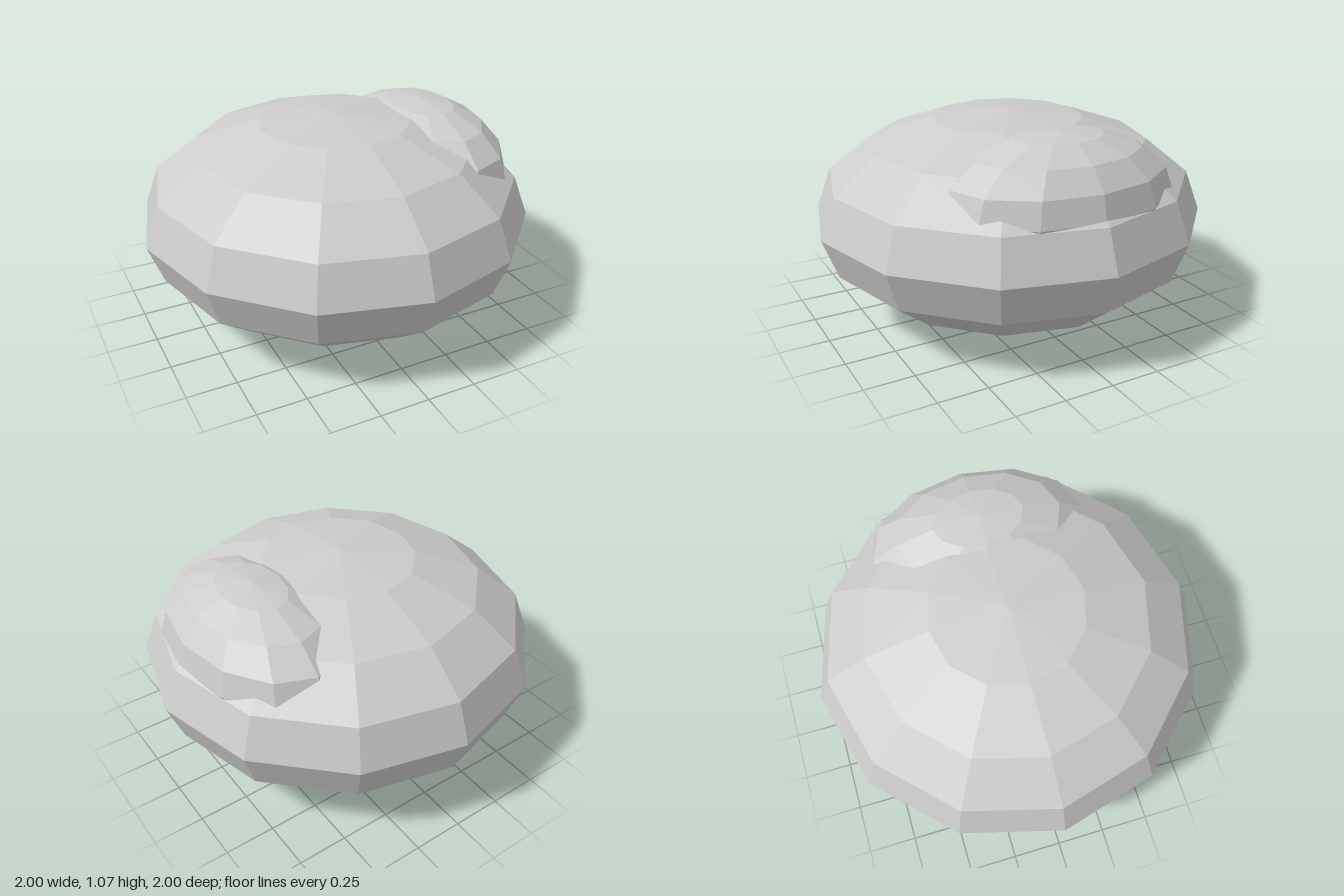
import * as THREE from 'three';

export function createModel() {
  const model = new THREE.Group();
  model.name = 'pebble';
  const stone = new THREE.MeshStandardMaterial({ color: 0xcccccc, flatShading: true });
  stone.name = 'stone grey';

  // Faceted ellipsoid with the given centre and radii
  function blob(name, center, radii) {
    const geometry = new THREE.SphereGeometry(1, 12, 8);
    geometry.scale(...radii);
    const mesh = new THREE.Mesh(geometry, stone);
    mesh.name = name;
    mesh.position.set(...center);
    model.add(mesh);
  }

  // Wide flattened body
  blob('body', [0, 0.533, 0], [1, 0.533, 1]);
  // Smaller bump sunk into the upper left side
  blob('bump', [0.5, 0.747, 0], [0.4, 0.32, 0.6]);

  return model;
}
